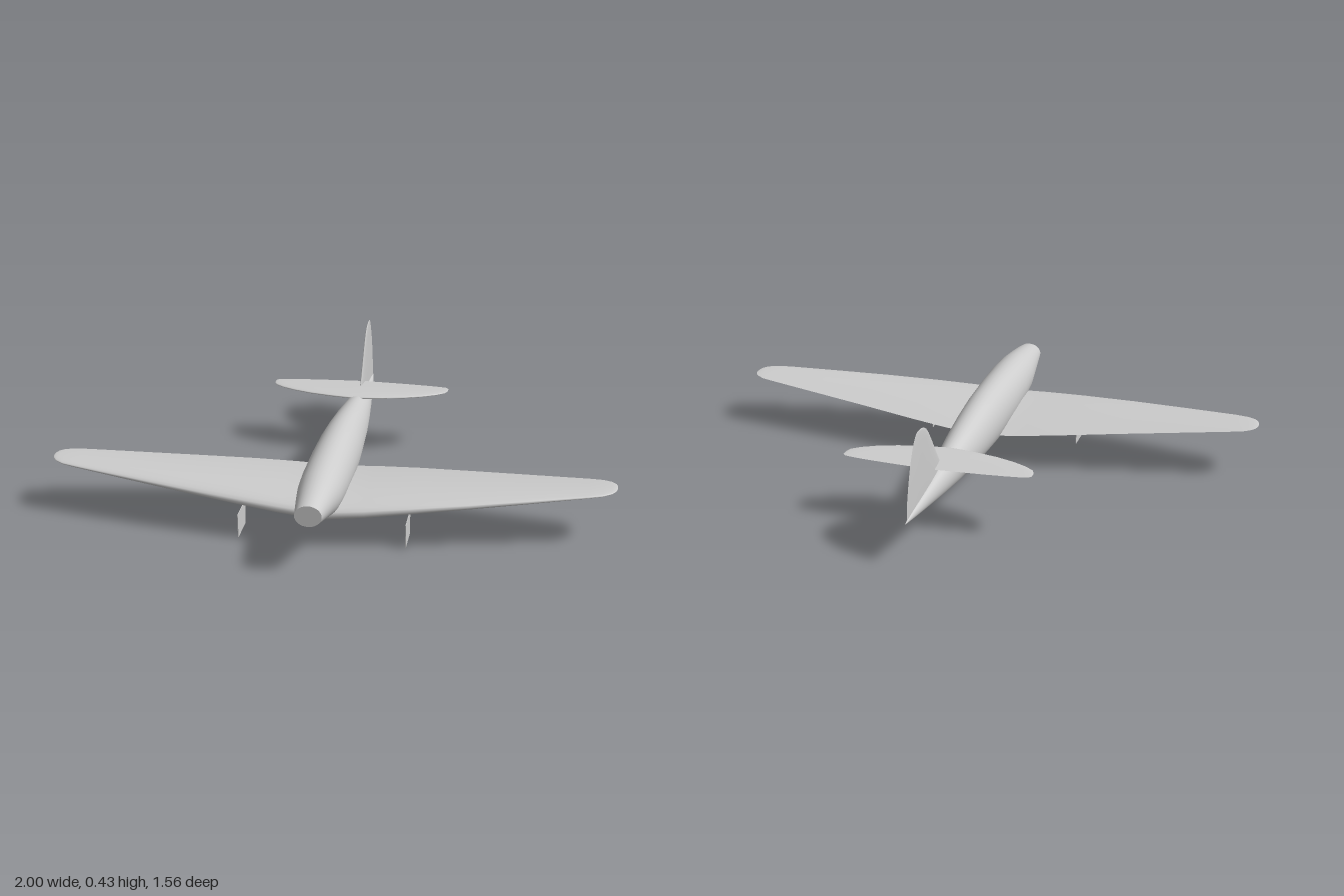
import * as THREE from 'three';

const AROUND = 32;

// Skin a list of rings (arrays of [x, y, z]); closed rings share their seam.
function loft(rings, closed) {
  const n = rings[0].length, cols = closed ? n : n - 1, index = [];
  for (let i = 0; i < rings.length - 1; i++) {
    for (let j = 0; j < cols; j++) {
      const a = i * n + j, b = i * n + (j + 1) % n, c = a + n, d = b + n;
      index.push(a, c, b, b, c, d);
    }
  }
  const g = new THREE.BufferGeometry();
  g.setAttribute('position', new THREE.Float32BufferAttribute(rings.flat(2), 3));
  g.setIndex(index);
  g.computeVertexNormals();
  return g;
}

// Airfoil outline as [z, offset]: trailing edge, lower side, nose, upper side, trailing edge.
function airfoil(zLead, zTrail, thick, camber) {
  const pts = [];
  for (let k = 0; k <= AROUND; k++) {
    const a = (k / AROUND) * Math.PI * 2;
    const u = (1 + Math.cos(a)) / 2;
    const h = 5 * (0.2969 * Math.sqrt(u) - 0.126 * u - 0.3516 * u ** 2 + 0.2843 * u ** 3 - 0.1036 * u ** 4);
    const side = k < AROUND / 2 ? -1 : 1;
    pts.push([zLead + (zTrail - zLead) * u, thick * (side * h + camber * 4 * u * (1 - u))]);
  }
  return pts;
}

// Full-span surface from half-span stations [x, leading z, trailing z, y, thickness].
function span(stations, camber) {
  const left = stations.slice(1).reverse().map(([x, ...r]) => [-x, ...r]);
  return loft([...left, ...stations].map(([x, zl, zt, y, t]) =>
    airfoil(zl, zt, t, camber).map(([z, o]) => [x, y + o, z])), false);
}

export function createModel() {
  const model = new THREE.Group();
  model.name = 'airplane';
  const grey = new THREE.MeshStandardMaterial({ color: 0xcccccc, side: THREE.DoubleSide });
  grey.name = 'light grey';
  const add = (name, geometry) => {
    const m = new THREE.Mesh(geometry, grey);
    m.name = name;
    model.add(m);
    return m;
  };

  // Fuselage stations: z, half width, top y, bottom y
  const body = [
    [0.78, 0.046, 0.252, 0.178], [0.73, 0.053, 0.262, 0.162], [0.65, 0.064, 0.273, 0.14],
    [0.56, 0.075, 0.283, 0.112], [0.45, 0.08, 0.288, 0.094], [0.3, 0.081, 0.289, 0.08],
    [0.12, 0.078, 0.285, 0.07], [0, 0.073, 0.275, 0.074], [-0.15, 0.065, 0.256, 0.082],
    [-0.3, 0.053, 0.235, 0.093], [-0.45, 0.039, 0.212, 0.11], [-0.6, 0.023, 0.189, 0.129],
    [-0.7, 0.012, 0.173, 0.142], [-0.78, 0.001, 0.157, 0.153],
  ];
  add('fuselage', loft(body.map(([z, w, top, bottom]) =>
    Array.from({ length: AROUND }, (_, j) => {
      const a = (j / AROUND) * Math.PI * 2;
      return [w * Math.cos(a), (top + bottom) / 2 + (top - bottom) / 2 * Math.sin(a), z];
    })), true));

  // Flat nose face
  const nose = add('noseFace', new THREE.CircleGeometry(1, AROUND));
  nose.scale.set(0.046, 0.037, 1);
  nose.position.set(0, 0.215, 0.78);

  // Tapered wing with dihedral and rounded tips
  add('wing', span([
    [0, 0.56, 0.105, 0.117, 0.08], [0.15, 0.55, 0.116, 0.128, 0.072],
    [0.3, 0.53, 0.138, 0.14, 0.062], [0.5, 0.497, 0.175, 0.155, 0.047],
    [0.7, 0.458, 0.211, 0.169, 0.033], [0.9, 0.417, 0.247, 0.183, 0.018],
    [0.95, 0.403, 0.258, 0.186, 0.013], [0.98, 0.383, 0.275, 0.188, 0.009],
    [0.994, 0.362, 0.293, 0.189, 0.005], [1, 0.338, 0.315, 0.19, 0],
  ], 0.1));

  // Tailplane: curved leading edge, nearly straight trailing edge
  add('tailplane', span([
    [0, -0.295, -0.492, 0.229, 0.018], [0.1, -0.309, -0.487, 0.229, 0.016],
    [0.18, -0.327, -0.482, 0.229, 0.014], [0.25, -0.352, -0.476, 0.229, 0.012],
    [0.3, -0.378, -0.47, 0.229, 0.009], [0.33, -0.402, -0.464, 0.229, 0.006],
    [0.34, -0.425, -0.452, 0.229, 0],
  ], 0));

  // Fin and rudder stations: y, leading z, trailing z, thickness
  const fin = [
    [0.155, -0.35, -0.767, 0.014], [0.215, -0.4, -0.764, 0.014], [0.26, -0.437, -0.753, 0.013],
    [0.3, -0.468, -0.741, 0.012], [0.34, -0.498, -0.726, 0.01], [0.38, -0.53, -0.705, 0.009],
    [0.405, -0.555, -0.688, 0.007], [0.42, -0.58, -0.673, 0.005], [0.427, -0.605, -0.662, 0.003],
    [0.431, -0.64, -0.65, 0],
  ];
  add('fin', loft(fin.map(([y, zl, zt, t]) =>
    airfoil(zl, zt, t, 0).map(([z, o]) => [-o, y, z])), false));

  // Thin landing gear doors hanging below the wing
  const door = new THREE.Shape([[-0.525, 0.086], [-0.395, 0.086], [-0.4, 0], [-0.52, 0]]
    .map(([a, b]) => new THREE.Vector2(a, b)));
  for (const s of [-1, 1]) {
    const d = add(s > 0 ? 'leftGearDoor' : 'rightGearDoor',
      new THREE.ExtrudeGeometry(door, { depth: 0.002, bevelEnabled: false }));
    d.rotation.y = Math.PI / 2;
    d.position.x = s * 0.292 - 0.001;
  }
  return model;
}
